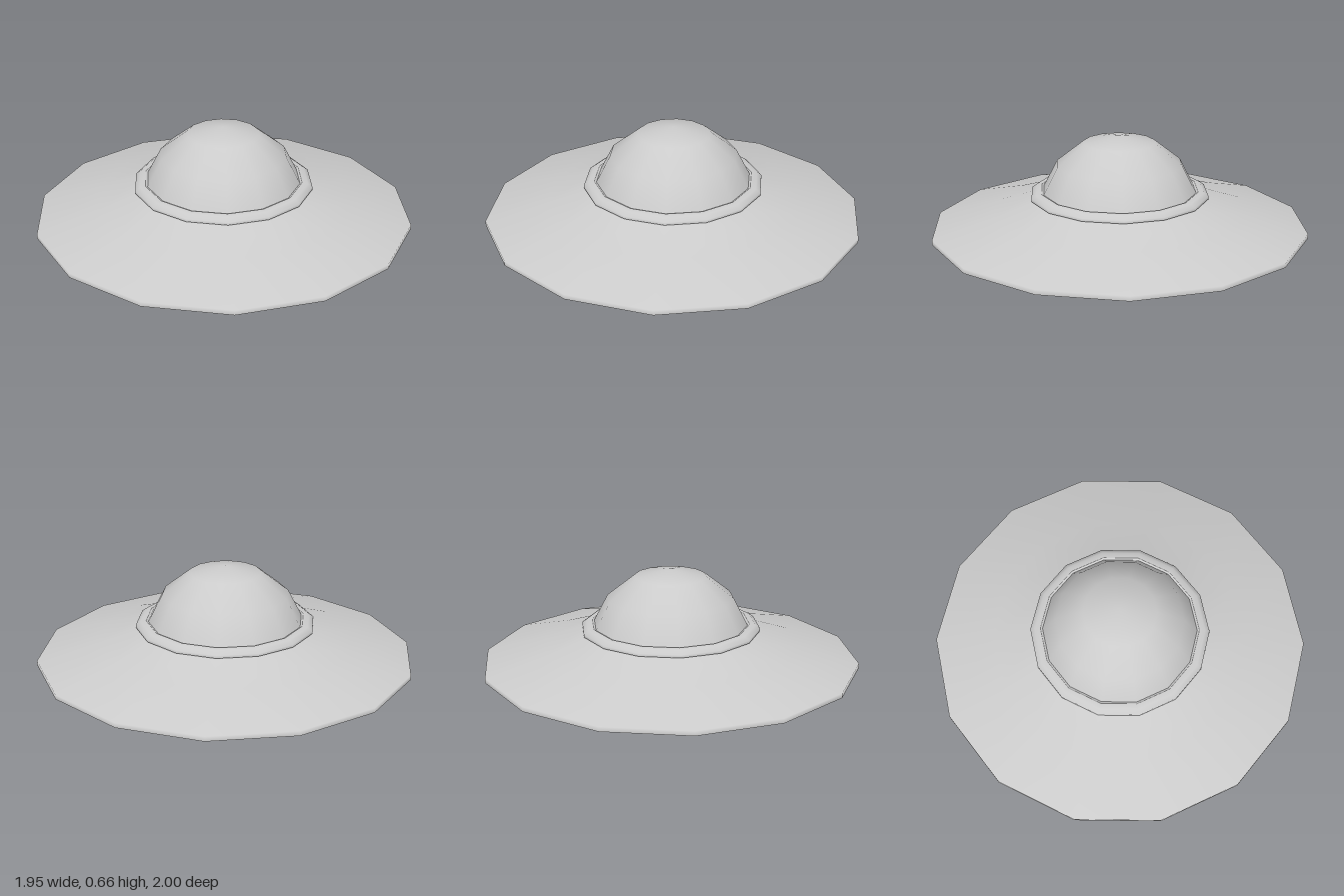
import * as THREE from 'three';

const SIDES = 14;
const material = new THREE.MeshStandardMaterial({ color: 0xcccccc });

// Smooth surface of revolution; the profile runs from the bottom up as [radius, y].
function turned(name, profile) {
  const points = profile.map(([r, y]) => new THREE.Vector2(r, y));
  const geometry = new THREE.LatheGeometry(points, SIDES);
  // Point the normals straight up or down where the profile meets the axis.
  const { position, normal } = geometry.attributes;
  for (let i = 0; i < position.count; i++) {
    if (Math.hypot(position.getX(i), position.getZ(i)) < 1e-6) {
      normal.setXYZ(i, 0, position.getY(i) > 0.3 ? 1 : -1, 0);
    }
  }
  const mesh = new THREE.Mesh(geometry, material);
  mesh.name = name;
  return mesh;
}

export function createModel() {
  const saucer = new THREE.Group();
  saucer.name = 'flyingSaucer';
  saucer.add(
    // Shallow underside with a small flat base
    turned('underside', [[0, 0], [0.195, 0], [0.7, 0.097], [1, 0.15]]),
    // Thin outer rim running into the concave upper hull
    turned('upperHull', [[1, 0.15], [1, 0.175], [0.68, 0.26], [0.455, 0.337]]),
    // Collar around the cockpit, with its lower lip, bevel and inner step
    turned('collarLip', [[0.455, 0.337], [0.475, 0.337]]),
    turned('collar', [[0.475, 0.337], [0.475, 0.352], [0.45, 0.37], [0.42, 0.372]]),
    turned('collarInnerStep', [[0.42, 0.372], [0.405, 0.365]]),
    // Domed canopy
    turned('dome', [[0.41, 0.365], [0.335, 0.51], [0.19, 0.625], [0, 0.662]])
  );
  return saucer;
}
